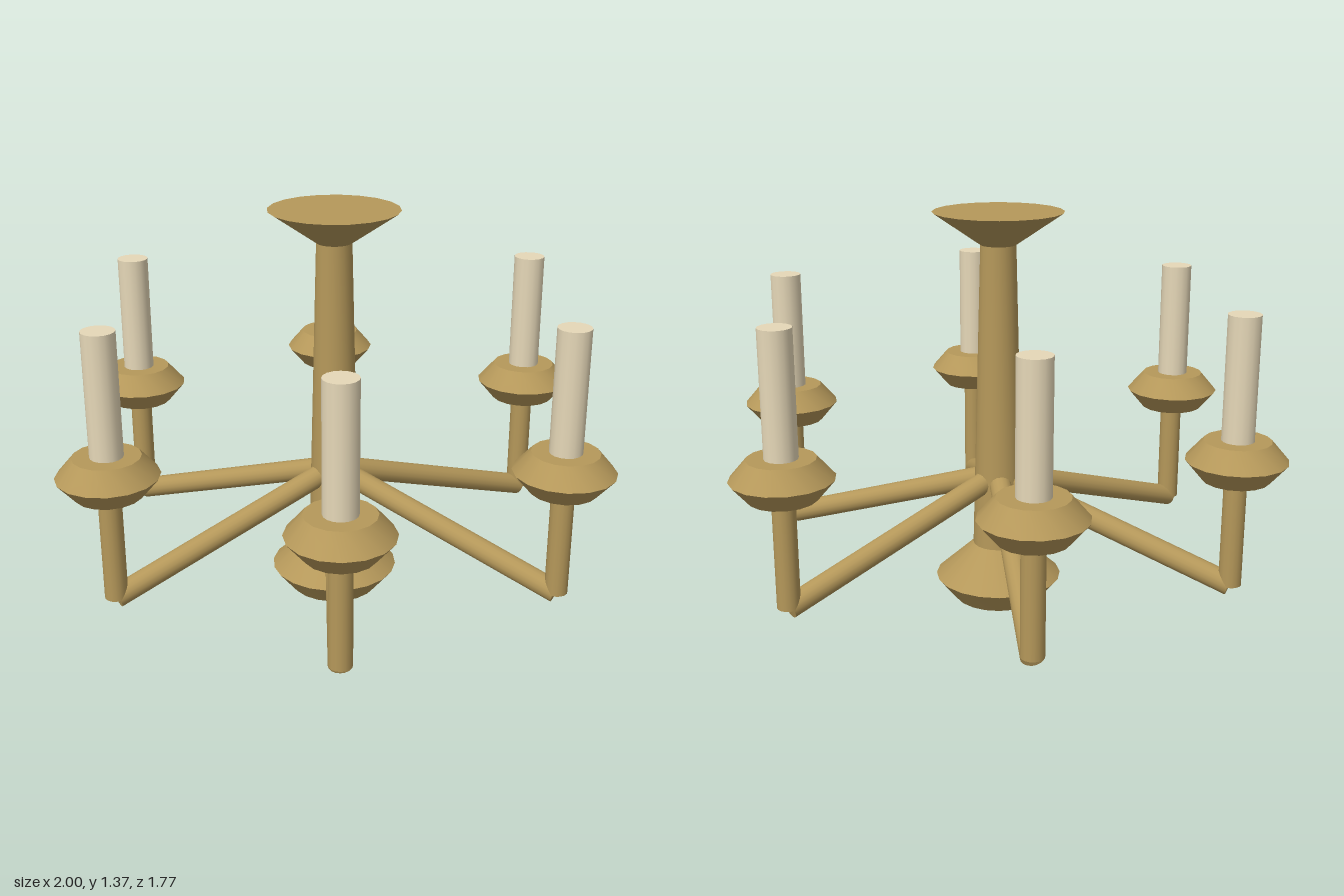
import * as THREE from 'three';
import { toCreasedNormals } from 'three/addons/utils/BufferGeometryUtils.js';

const brass = new THREE.MeshStandardMaterial({ color: 0xb5985a });
const wax = new THREE.MeshStandardMaterial({ color: 0xe6d8b8 });

function part(name, geometry, material) {
  const mesh = new THREE.Mesh(geometry, material);
  mesh.name = name;
  return mesh;
}

// Turned solid from [radius, height] points, bottom to top
function turned(points, sides) {
  const profile = points.map(([r, y]) => new THREE.Vector2(r, y));
  return toCreasedNormals(new THREE.LatheGeometry(profile, sides), 0.5);
}

// Round rod between two points
function rod(a, b, radius, sides = 16) {
  const direction = b.clone().sub(a);
  const geometry = new THREE.CylinderGeometry(radius, radius, direction.length(), sides);
  const turn = new THREE.Quaternion().setFromUnitVectors(
    new THREE.Vector3(0, 1, 0), direction.normalize());
  geometry.applyQuaternion(turn);
  const mid = a.clone().add(b).multiplyScalar(0.5);
  return geometry.translate(mid.x, mid.y, mid.z);
}

export function createModel() {
  const model = new THREE.Group();
  model.name = 'chandelier';

  // Central column with flared ceiling plate and weighted base
  model.add(part('column', turned([
    [0, 0], [0.155, 0], [0.22, 0.08], [0.088, 0.2],
    [0.06, 1.26], [0.22, 1.37], [0, 1.37],
  ], 20), brass));

  const reach = 0.833;
  const at = (x, y) => new THREE.Vector3(x, y, 0);

  // Shared geometries of one branch, built along +x
  const armGeometry = rod(at(0.06, 0.435), at(reach, 0.183), 0.038);
  const stemGeometry = rod(at(reach, 0.185), at(reach, 0.57), 0.038);
  const cupGeometry = turned([
    [0, 0.553], [0.11, 0.553], [0.167, 0.62], [0.11, 0.686], [0, 0.686],
  ], 16).translate(reach, 0, 0);
  const candleGeometry = rod(at(reach, 0.67), at(reach, 1.098), 0.054);

  // Six branches around the column
  for (let i = 0; i < 6; i++) {
    const branch = new THREE.Group();
    branch.name = `branch${i + 1}`;
    branch.add(
      part('arm', armGeometry, brass),
      part('stem', stemGeometry, brass),
      part('cup', cupGeometry, brass),
      part('candle', candleGeometry, wax),
    );
    branch.rotation.y = (i * Math.PI) / 3;
    model.add(branch);
  }
  return model;
}
